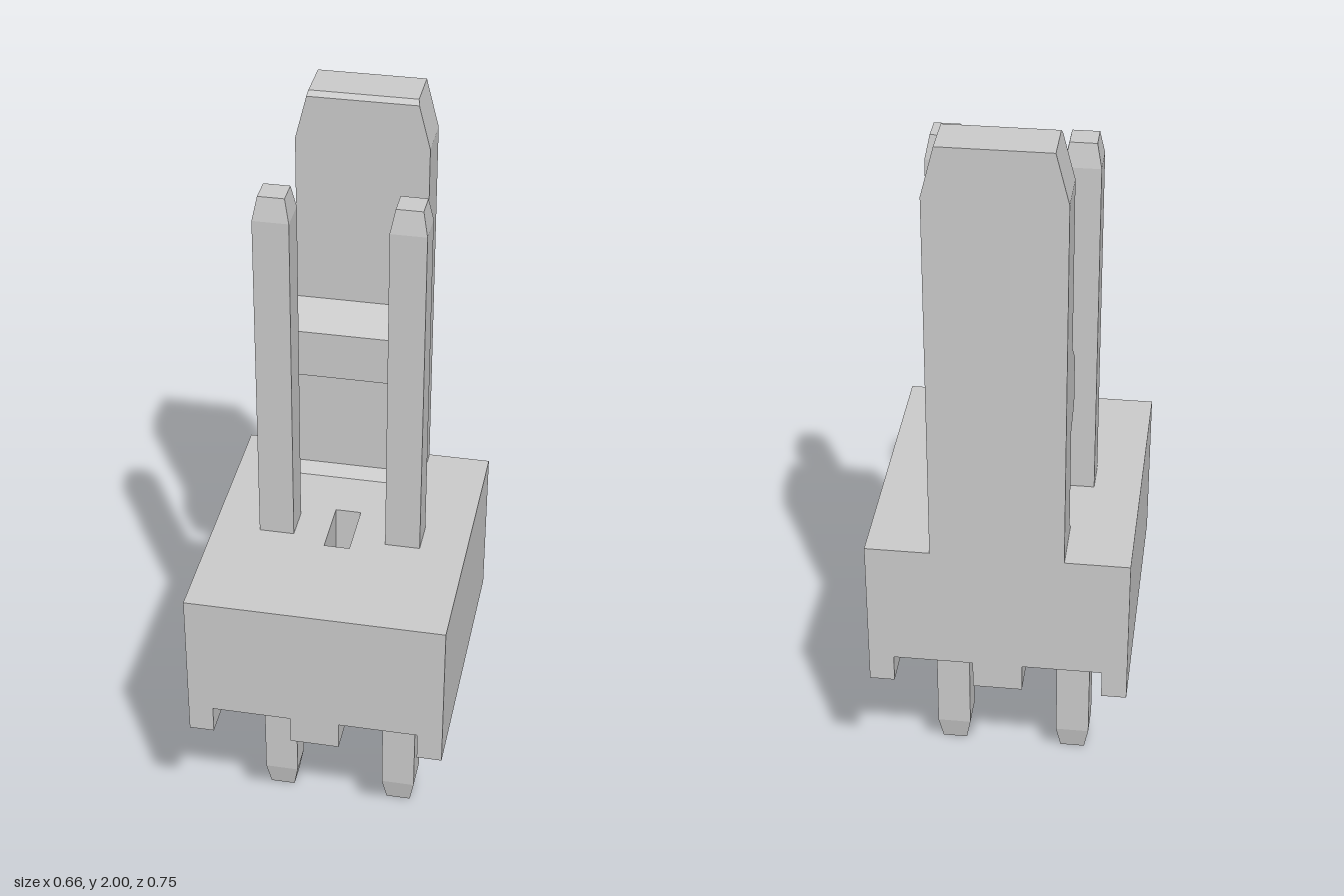
import * as THREE from 'three';

const material = new THREE.MeshStandardMaterial({ color: 0xcccccc, flatShading: true });

// Stacks rectangular sections [y, halfWidth, zBack, zFront] into a closed solid.
function loft(sections) {
  const rings = sections.map(([y, w, zb, zf]) => [[-w, y, zf], [w, y, zf], [w, y, zb], [-w, y, zb]]);
  const positions = [];
  const quad = (a, b, c, d) => positions.push(...a, ...b, ...c, ...a, ...c, ...d);
  for (let k = 0; k < rings.length - 1; k++) {
    for (let i = 0; i < 4; i++) {
      const j = (i + 1) % 4;
      quad(rings[k][i], rings[k][j], rings[k + 1][j], rings[k + 1][i]);
    }
  }
  const bottom = rings[0], top = rings[rings.length - 1];
  quad(bottom[3], bottom[2], bottom[1], bottom[0]);
  quad(...top);
  const geometry = new THREE.BufferGeometry();
  geometry.setAttribute('position', new THREE.Float32BufferAttribute(positions, 3));
  geometry.computeVertexNormals();
  return geometry;
}

function rectangle(PathType, w, d) {
  return new PathType([[-w, -d], [w, -d], [w, d], [-w, d]].map(([x, y]) => new THREE.Vector2(x, y)));
}

export function createModel() {
  const model = new THREE.Group();
  model.name = 'pinHeader';
  const add = (name, geometry, x = 0, y = 0, z = 0) => {
    const mesh = new THREE.Mesh(geometry, material);
    mesh.name = name;
    mesh.position.set(x, y, z);
    model.add(mesh);
  };

  const W = 0.33, D = 0.377, base = 0.48, floor = 0.555, deck = 0.893;

  // Housing slab with a rectangular slot through it
  const outline = rectangle(THREE.Shape, W, D);
  outline.holes.push(rectangle(THREE.Path, 0.033, 0.079));
  const slab = new THREE.ExtrudeGeometry(outline, { depth: deck - floor, bevelEnabled: false });
  slab.rotateX(-Math.PI / 2);
  add('housing', slab, 0, floor, 0);

  // Standoff rails under the housing; the middle one is interrupted at the slot
  const railHeight = floor - base, railY = (floor + base) / 2;
  for (const s of [-1, 1]) {
    add('sideRail', new THREE.BoxGeometry(0.064, railHeight, 2 * D), s * (W - 0.032), railY, 0);
    add('middleRail', new THREE.BoxGeometry(0.126, railHeight, D - 0.079), 0, railY, s * (D + 0.079) / 2);
  }

  // Square pins with tapered tips
  const pin = loft([
    [0, 0.033, -0.033, 0.033],
    [0.065, 0.045, -0.045, 0.045],
    [1.8, 0.045, -0.045, 0.045],
    [1.86, 0.033, -0.033, 0.033],
  ]);
  for (const s of [-1, 1]) add('pin', pin, s * 0.165);

  // Locking tab: chamfered foot, catch ridge and tapered top
  add('lockingTab', loft([
    [deck, 0.167, -D, -0.224],
    [0.92, 0.167, -D, -0.25],
    [1.197, 0.167, -D, -0.25],
    [1.235, 0.167, -D, -0.183],
    [1.365, 0.167, -D, -0.183],
    [1.43, 0.167, -D, -0.25],
    [1.875, 0.167, -D, -0.25],
    [1.988, 0.138, -D, -0.25],
    [2, 0.135, -D, -0.261],
  ]));

  return model;
}
